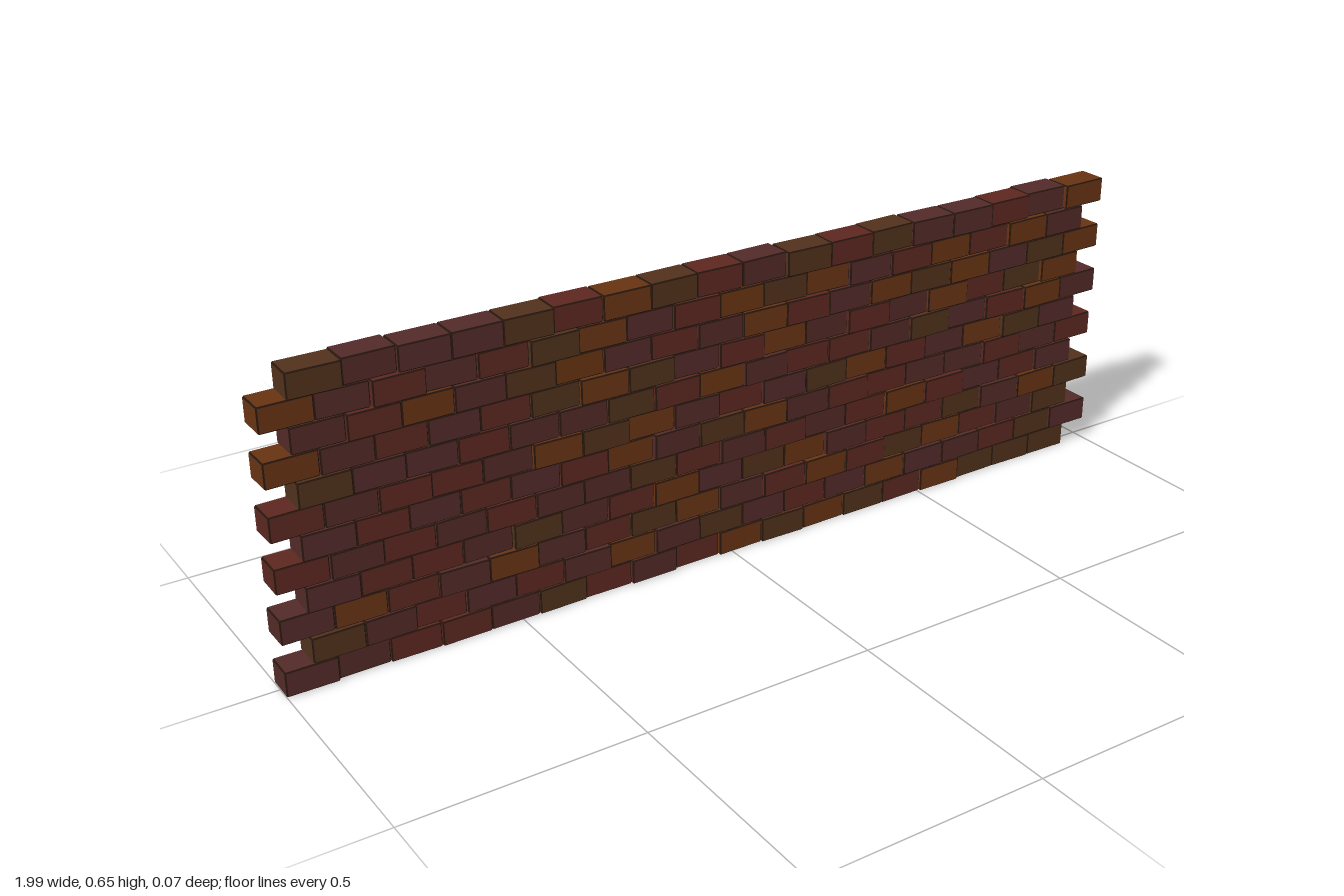
import * as THREE from 'three';
import { mergeGeometries } from 'three/addons/utils/BufferGeometryUtils.js';

const COLUMNS = 18, ROWS = 12;
const PITCH = 0.1075, ROW = 0.0539;            // brick spacing
const W = 0.0536, H = 0.0268, D = 0.0308;      // half sizes of one brick
const C = 0.0027;                              // chamfer

// Colour of each brick, top course first: Olive, Red, Maroon, Brown
const PATTERN = [
  'OMMMORBORMOROMMRMB',
  'BMRMROBMRBOBMRBRBM',
  'MRBMOBMRMBRMBOBMOB',
  'BMRMROBOMRBMRMBROB',
  'OMMRMMORBMRRMOMRBM',
  'RMRRMBOBMRMOBRMBOM',
  'MRMRMRBMOBMRRMMRMR',
  'RMRMRMMORMRMRBRMRM',
  'MRRMOMRBMOBMRROMBO',
  'MBRMBMROBMRBROBRMO',
  'OMRMRMBMOMRMBMMROM',
  'MMRRMORMRBOBORBOOO',
];

let seed = 7;
function jitter(a) {
  seed = (seed * 16807) % 2147483647;
  return (seed / 2147483647 * 2 - 1) * a;
}

function fromQuads(quads) {
  const pos = [];
  for (const [a, b, c, d] of quads) for (const p of [a, b, c, a, c, d]) pos.push(...p);
  const geo = new THREE.BufferGeometry();
  geo.setAttribute('position', new THREE.Float32BufferAttribute(pos, 3));
  geo.computeVertexNormals();
  return geo;
}

// Brick shell open at the back and underside: flat faces and dark chamfers kept apart
function brickGeometries() {
  const w = W - C, h = H - C;
  const outline = z => [
    [W, -h, z], [W, h, z], [w, H, z], [-w, H, z],
    [-W, h, z], [-W, -h, z], [-w, -H, z], [w, -H, z],
  ];
  const back = outline(-D), mid = outline(D - C);
  const front = [
    [w, -h, D], [w, h, D], [w, h, D], [-w, h, D],
    [-w, h, D], [-w, -h, D], [-w, -h, D], [w, -h, D],
  ];
  const faces = [[front[0], front[1], front[3], front[5]]];
  const edges = [];
  for (let i = 0; i < 8; i++) {
    const j = (i + 1) % 8;
    const underside = i === 6;
    if (!underside) (i % 2 ? edges : faces).push([back[i], back[j], mid[j], mid[i]]);
    edges.push([mid[i], mid[j], front[j], front[i]]);
  }
  return { faces: fromQuads(faces), edges: fromQuads(edges) };
}

export function createModel() {
  const wall = new THREE.Group();
  wall.name = 'brickWall';
  const material = color => new THREE.MeshStandardMaterial({ color, side: THREE.DoubleSide });
  const materials = {
    O: material(0x50311b), R: material(0x5c2720),
    M: material(0x522a28), B: material(0x673312),
  };
  const edgeMaterial = material(0x24150d);
  const brick = brickGeometries();

  for (let r = 0; r < ROWS; r++) {
    const course = new THREE.Group();
    course.name = `course${r + 1}`;
    // Running bond: every other course moves half a brick to the left side
    const start = (r % 2 ? -0.9415 : -0.9985) + jitter(0.0015);
    const edges = [];
    for (let c = 0; c < COLUMNS; c++) {
      const mesh = new THREE.Mesh(brick.faces, materials[PATTERN[ROWS - 1 - r][c]]);
      mesh.name = `brick${c + 1}`;
      mesh.position.set(start + PITCH * (c + 0.5), ROW * r + H, jitter(0.005));
      mesh.rotation.y = jitter(0.025);
      mesh.updateMatrix();
      edges.push(brick.edges.clone().applyMatrix4(mesh.matrix));
      course.add(mesh);
    }
    const chamfers = new THREE.Mesh(mergeGeometries(edges), edgeMaterial);
    chamfers.name = 'brickEdges';
    course.add(chamfers);
    wall.add(course);
  }
  return wall;
}
